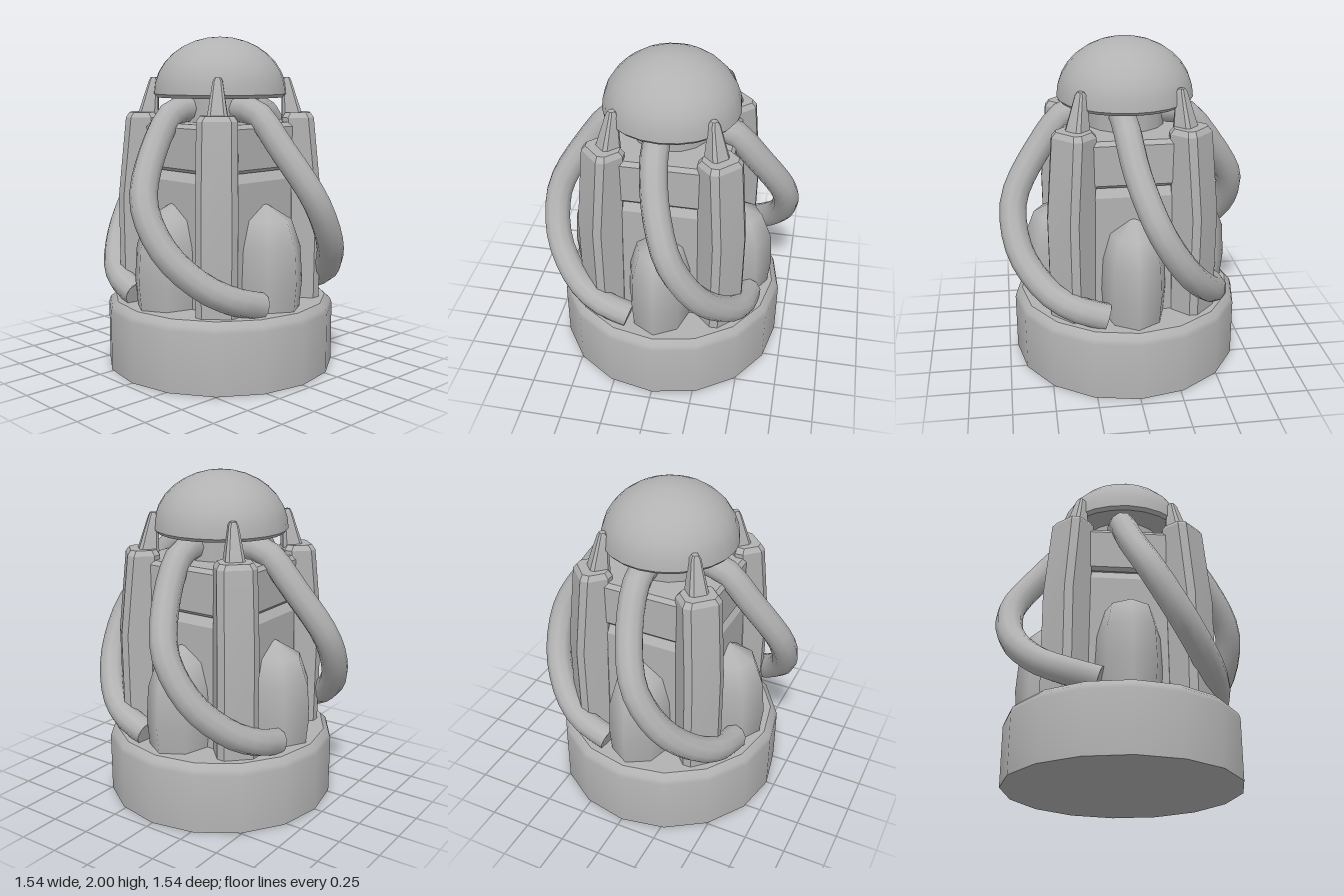
import * as THREE from 'three';
import { toCreasedNormals } from 'three/addons/utils/BufferGeometryUtils.js';

const grey = new THREE.MeshStandardMaterial({ color: 0xb2b2b2 });
grey.name = 'grey';

function part(name, geometry, crease) {
  const g = crease === undefined ? geometry : toCreasedNormals(geometry, crease);
  const mesh = new THREE.Mesh(g, grey);
  mesh.name = name;
  return mesh;
}

// Turned solid, profile listed from bottom to top as [radius, y]
function turned(profile, sides) {
  return new THREE.LatheGeometry(profile.map(([r, y]) => new THREE.Vector2(r, y)), sides);
}

// Rectangle with cut corners, ordered from +z towards +x
function cutRect(h, z0, z1, c) {
  return [[-h + c, z1], [h - c, z1], [h, z1 - c], [h, z0 + c],
    [h - c, z0], [-h + c, z0], [-h, z0 + c], [-h, z1 - c]];
}

// Closed solid through stacked cross-sections [y, loop]
function loft(sections) {
  const pos = [], index = [], n = sections[0][1].length;
  for (const [y, loop] of sections) for (const [x, z] of loop) pos.push(x, y, z);
  for (let s = 0; s < sections.length - 1; s++) {
    for (let i = 0; i < n; i++) {
      const a = s * n + i, b = s * n + (i + 1) % n;
      index.push(a, b, b + n, a, b + n, a + n);
    }
  }
  const top = (sections.length - 1) * n;
  for (let i = 1; i < n - 1; i++) {
    index.push(0, i + 1, i, top, top + i, top + i + 1);
  }
  const g = new THREE.BufferGeometry();
  g.setAttribute('position', new THREE.Float32BufferAttribute(pos, 3));
  g.setIndex(index);
  return g;
}

function makeColumn() {
  const group = new THREE.Group();
  group.name = 'column';
  group.add(part('columnShaft', loft([
    [0.38, cutRect(0.12, 0.41, 0.61, 0.035)],
    [1.04, cutRect(0.12, 0.40, 0.615, 0.035)],
    [1.52, cutRect(0.115, 0.375, 0.565, 0.035)],
    [1.55, cutRect(0.095, 0.395, 0.545, 0.03)],
  ]), 0.4));
  group.add(part('columnSpike', loft([
    [1.53, cutRect(0.06, 0.375, 0.5, 0.02)],
    [1.74, cutRect(0.028, 0.375, 0.43, 0.01)],
    [1.76, cutRect(0.018, 0.385, 0.42, 0.008)],
  ]), 0.4));
  group.rotation.y = Math.PI / 4;
  return group;
}

function makeCable() {
  const group = new THREE.Group();
  group.name = 'cable';
  const curve = new THREE.CatmullRomCurve3([
    [-0.04, 1.58, 0.2], [-0.035, 1.55, 0.35], [0, 1.35, 0.52], [0.09, 1.1, 0.67],
    [0.17, 0.95, 0.69], [0.29, 0.77, 0.645], [0.43, 0.6, 0.5], [0.5, 0.52, 0.35], [0.52, 0.465, 0.17],
  ].map((p) => new THREE.Vector3(...p)));
  const r = 0.08;
  group.add(part('cableTube', new THREE.TubeGeometry(curve, 20, r, 10)));
  const cap = part('cableEnd', new THREE.CircleGeometry(r, 10));
  cap.position.copy(curve.getPoint(1));
  cap.lookAt(cap.position.clone().add(curve.getTangent(1)));
  group.add(cap);
  return group;
}

function makePod() {
  const pod = part('pod', turned([
    [0.185, 0.38], [0.2, 0.58], [0.19, 0.78], [0.145, 0.94], [0, 1.04],
  ], 8));
  pod.scale.z = 1.4;
  pod.position.z = 0.36;
  return pod;
}

export function createModel() {
  const model = new THREE.Group();
  model.name = 'machine';

  // Round base with a bevelled rim
  model.add(part('base', turned([
    [0, 0], [0.7, 0], [0.7, 0.36], [0.69, 0.39], [0.655, 0.42], [0, 0.42],
  ], 16), 0.7));

  // Square core in two blocks with a bevelled seam
  const square = (h, c = 0.08) => cutRect(h, -h, h, c);
  model.add(part('lowerCore', loft([
    [0.4, square(0.39)], [1.16, square(0.39)], [1.225, square(0.35)],
  ]), 0.4));
  model.add(part('upperCore', loft([
    [1.215, square(0.37)], [1.235, square(0.39)], [1.47, square(0.39)], [1.495, square(0.37)],
  ]), 0.4));

  // Neck and dome
  model.add(part('neck', turned([[0.235, 1.48], [0.235, 1.66]], 16)));
  const dome = [[0, 1.64], [0.385, 1.64], [0.403, 1.66]];
  for (let i = 1; i <= 8; i++) {
    const a = (i / 8) * Math.PI / 2;
    dome.push([0.403 * Math.cos(a), 1.66 + 0.34 * Math.sin(a)]);
  }
  dome[dome.length - 1][0] = 0;
  model.add(part('dome', turned(dome, 24), 0.7));

  // Column, pod and cable repeated on each quarter
  for (let i = 0; i < 4; i++) {
    const quarter = new THREE.Group();
    quarter.name = 'quarter' + (i + 1);
    quarter.add(makeColumn(), makePod(), makeCable());
    quarter.rotation.y = i * Math.PI / 2;
    model.add(quarter);
  }
  return model;
}
